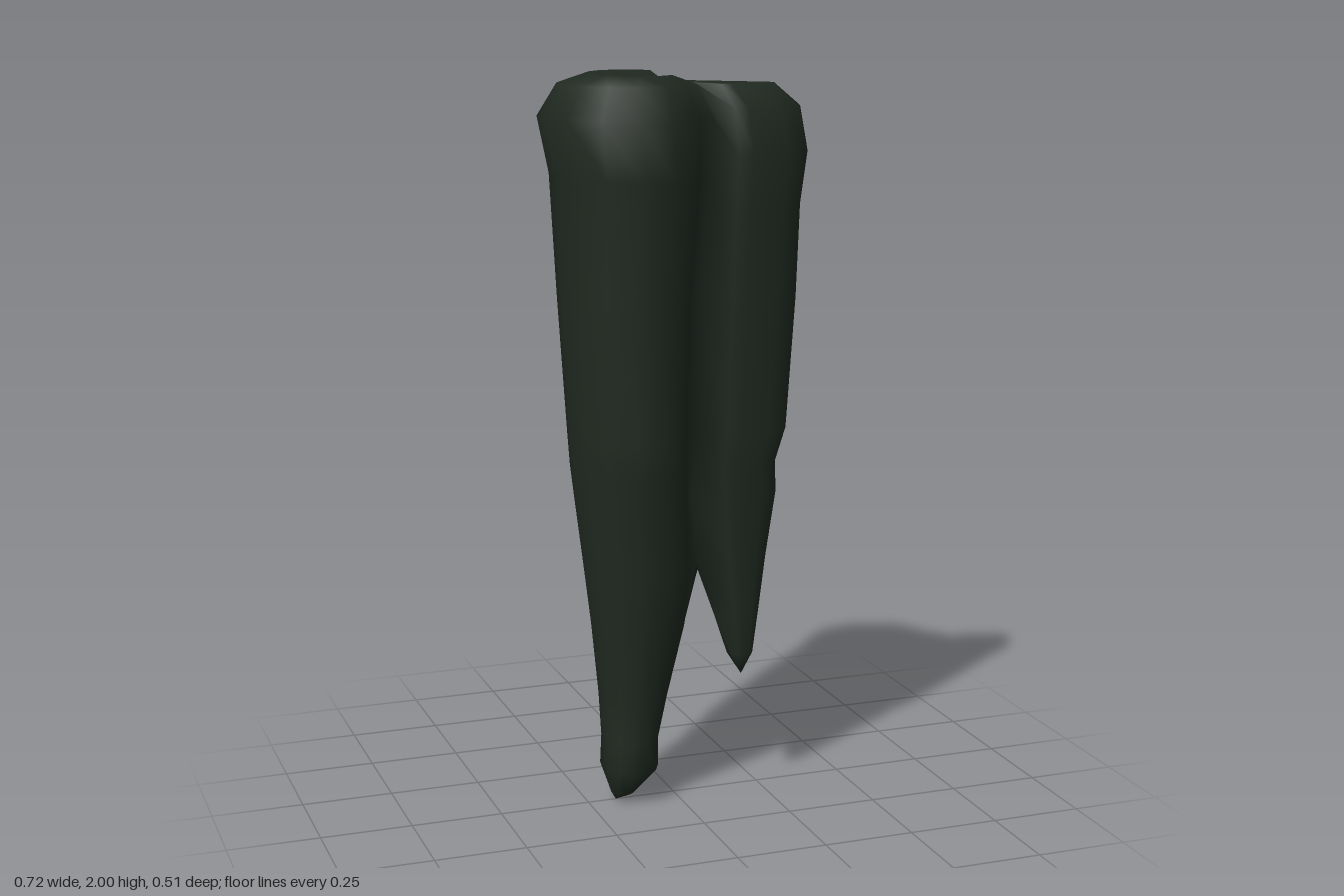
import * as THREE from 'three';

const { lerp, clamp, degToRad } = THREE.MathUtils;

// Spike rings above the fork: y, left x, right x, back z, front z
const spikeUpper = [
  [2.0, -0.23, 0.0, -0.15, 0.15],
  [1.975, -0.31, 0.05, -0.205, 0.205],
  [1.89, -0.362, 0.092, -0.258, 0.257],
  [1.74, -0.331, 0.082, -0.247, 0.25],
  [1.4, -0.312, 0.056, -0.226, 0.22],
  [1.04, -0.293, 0.046, -0.194, 0.202],
  [0.95, -0.287, 0.046, -0.187, 0.193],
  [0.86, -0.276, 0.046, -0.18, 0.178],
  [0.68, -0.256, 0.052, -0.158, 0.163],
];
// Spike rings below the fork, squarer near the tip
const spikeLower = [
  [0.5, -0.235, 0.022, -0.127, 0.133],
  [0.3, -0.213, -0.025, -0.108, 0.103],
  [0.18, -0.207, -0.052, -0.09, 0.092],
  [0.1, -0.203, -0.062, -0.076, 0.087, 0.16],
  [0.025, -0.185, -0.12, -0.032, 0.045],
];
// Fin rings: y, inner x, outer x, back z, front z
const finUpper = [
  [1.972, 0.0, 0.26, 0.02, 0.1],
  [1.91, 0.0, 0.333, -0.005, 0.138],
  [1.79, 0.0, 0.357, -0.02, 0.149],
  [1.65, 0.0, 0.336, -0.012, 0.146],
  [1.4, 0.0, 0.326, 0.003, 0.133],
  [1.04, 0.0, 0.302, 0.008, 0.122],
  [0.95, 0.005, 0.273, 0.01, 0.118],
  [0.86, 0.015, 0.275, 0.014, 0.112],
  [0.68, 0.06, 0.247, 0.023, 0.101],
];
const finLower = [
  [0.52, 0.102, 0.226, 0.033, 0.093],
  [0.41, 0.138, 0.21, 0.042, 0.085],
];
// Fin outline: u from root (0) to outer edge (1), v from back (-1) to front (1)
const finOutline = [
  [0.41, -1], [0.73, -0.82], [0.95, -0.4], [1, 0], [0.95, 0.45], [0.77, 0.85], [0.48, 1], [0.38, 0.85],
];
const finRoot = [[0.12, 0.4], [0, -0.4], [0.12, -0.85]];

const ARC_POINTS = 14;

function finRing([y, x0, x1, z0, z1], outline) {
  return outline.map(([u, v]) => [lerp(x0, x1, u), y, (z0 + z1) / 2 + v * (z1 - z0) / 2]);
}

function spikePoint([y, x0, x1, z0, z1, square = 0], degrees) {
  const a = degToRad(degrees);
  const r = 1 + square * Math.abs(Math.sin(2 * a));
  return [
    (x0 + x1) / 2 + r * Math.cos(a) * (x1 - x0) / 2, y,
    (z0 + z1) / 2 + r * Math.sin(a) * (z1 - z0) / 2,
  ];
}

// Arc round the spike between its two joints with the fin, which spread apart higher up
function spikeArc(row) {
  const t = clamp((row[0] - 0.68) / 1.2, 0, 1);
  const frontJoint = lerp(22, 29, Math.min(1, t * 3));
  const backJoint = lerp(368, 342, t);
  return Array.from({ length: ARC_POINTS }, (_, i) =>
    spikePoint(row, lerp(frontJoint, backJoint, i / (ARC_POINTS - 1))));
}

export function createModel() {
  const group = new THREE.Group();
  group.name = 'hangingSpike';
  const stone = new THREE.MeshStandardMaterial({ color: 0x202a21 });
  stone.name = 'dark green stone';

  const positions = [], index = [];
  const add = points => points.map(p => positions.push(...p) / 3 - 1);
  const skin = (upper, lower) => upper.forEach((a, j) => {
    const k = (j + 1) % upper.length;
    index.push(a, upper[k], lower[j], upper[k], lower[k], lower[j]);
  });
  const skinAll = rings => rings.slice(1).forEach((ring, i) => skin(rings[i], ring));
  const cap = (ring, point, facesUp) => {
    const [centre] = add([point]);
    ring.forEach((a, j) => {
      const b = ring[(j + 1) % ring.length];
      index.push(centre, facesUp ? b : a, facesUp ? a : b);
    });
  };

  // Upper body: spike and fin share one outline
  const upper = spikeUpper.map((row, i) => {
    const arc = spikeArc(row);
    if (i === 0) arc[0][1] = arc[ARC_POINTS - 1][1] = finUpper[0][0]; // dip between the two tops
    return add([...finRing(finUpper[i], finOutline), ...arc]);
  });
  skinAll(upper);
  cap(upper[0], [-0.1, 1.985, 0.03], true);

  // Fork: the outline divides at a shared crotch point
  const fork = upper[upper.length - 1];
  const finEdge = fork.slice(0, finOutline.length);
  const arcEdge = fork.slice(finOutline.length);
  const [crotch] = add([[0.066, 0.69, 0.04]]);

  // Long tip of the spike
  const spikeTip = [[...arcEdge, crotch],
    ...spikeLower.map(row => add([...spikeArc(row), spikePoint(row, 15)]))];
  skinAll(spikeTip);
  cap(spikeTip[spikeTip.length - 1], [-0.17, 0, 0], false);

  // Short tip of the fin
  const finTip = [[...finEdge, arcEdge[0], crotch, arcEdge[ARC_POINTS - 1]],
    ...finLower.map(row => add(finRing(row, [...finOutline, ...finRoot])))];
  skinAll(finTip);
  cap(finTip[finTip.length - 1], [0.175, 0.35, 0.068], false);

  const geometry = new THREE.BufferGeometry();
  geometry.setAttribute('position', new THREE.Float32BufferAttribute(positions, 3));
  geometry.setIndex(index);
  geometry.computeVertexNormals();
  const spike = new THREE.Mesh(geometry, stone);
  spike.name = 'forkedSpike';
  group.add(spike);

  return group;
}
